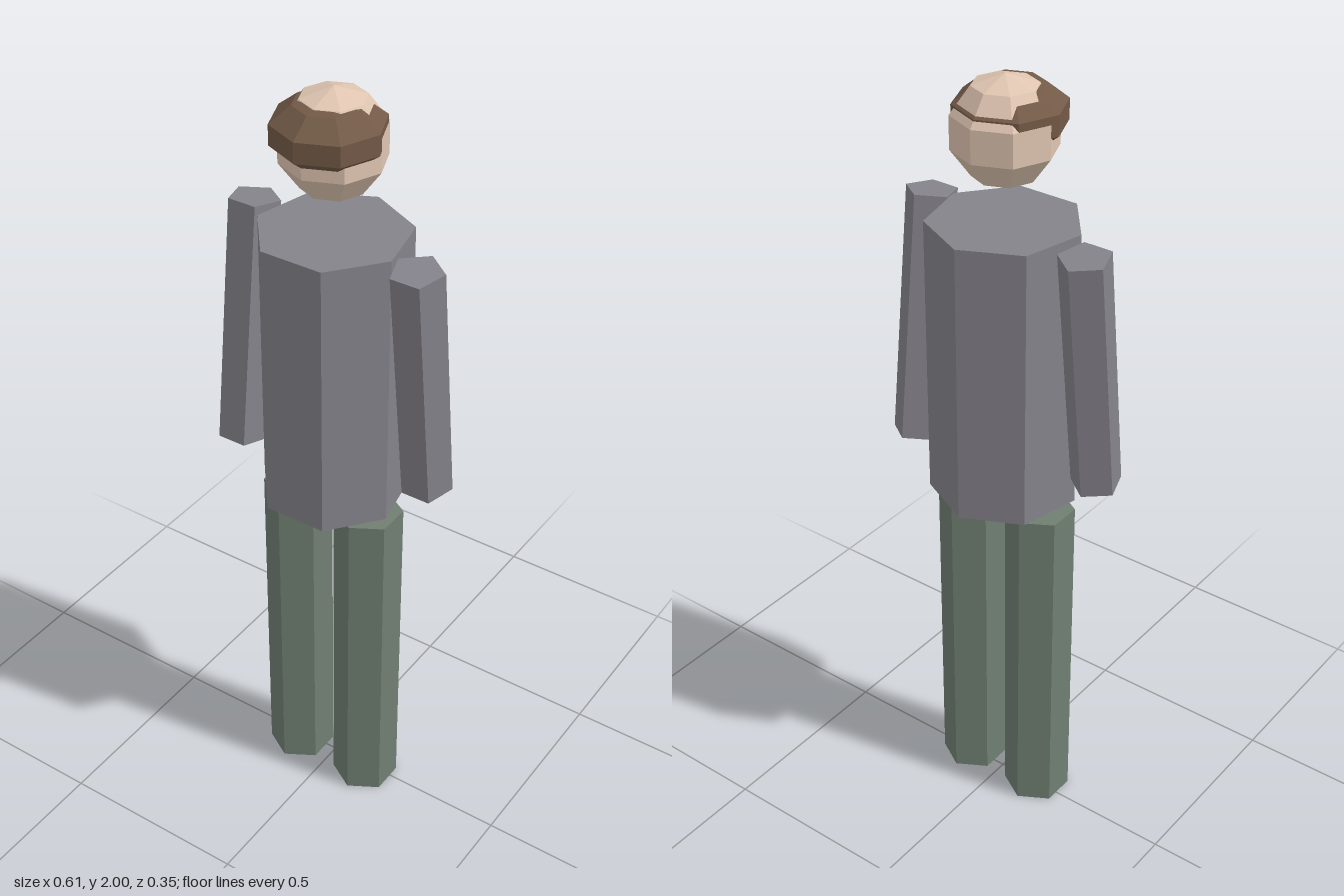
import * as THREE from 'three';

const flat = (name, color) => {
  const m = new THREE.MeshStandardMaterial({ color, flatShading: true });
  m.name = name;
  return m;
};

export function createModel() {
  const coat = flat('coatGrey', 0x85838b);
  const trousers = flat('trouserGreen', 0x707f72);
  const skin = flat('skin', 0xdfc5b1);
  const hair = flat('hairBrown', 0x735a47);

  const model = new THREE.Group();
  model.name = 'walkingFigure';

  const add = (name, geometry, material, x, y, z) => {
    const mesh = new THREE.Mesh(geometry, material);
    mesh.name = name;
    mesh.position.set(x, y, z);
    model.add(mesh);
    return mesh;
  };

  // Prism with one corner pointing to the front, or to the back when turned
  const prism = (radius, height, sides, turned) => {
    const g = new THREE.CylinderGeometry(radius, radius, height, sides);
    return turned ? g.rotateY(Math.PI) : g;
  };

  // Torso: seven-sided coat
  add('torso', prism(0.185, 0.716, 7, true), coat, 0, 1.294, 0.008);

  // Legs and swinging arms, left is +x
  for (const [side, s] of [['left', 1], ['right', -1]]) {
    add(side + 'Leg', prism(0.086, 0.906, 6, false), trousers, s * 0.105, 0.453, 0.0115);
    const arm = add(side + 'Arm', prism(0.064, 0.634, 5, true), coat, s * 0.244, 1.332, 0.009);
    arm.rotation.x = s * 0.117;
  }

  // Head, with a squashed band of hair pushed forward over it
  add('head', new THREE.SphereGeometry(0.13, 8, 5), skin, 0, 1.87, 0.007);
  const band = new THREE.SphereGeometry(0.138, 8, 5).scale(1, 0.58, 1);
  add('hair', band, hair, 0, 1.905, 0.026);

  return model;
}
